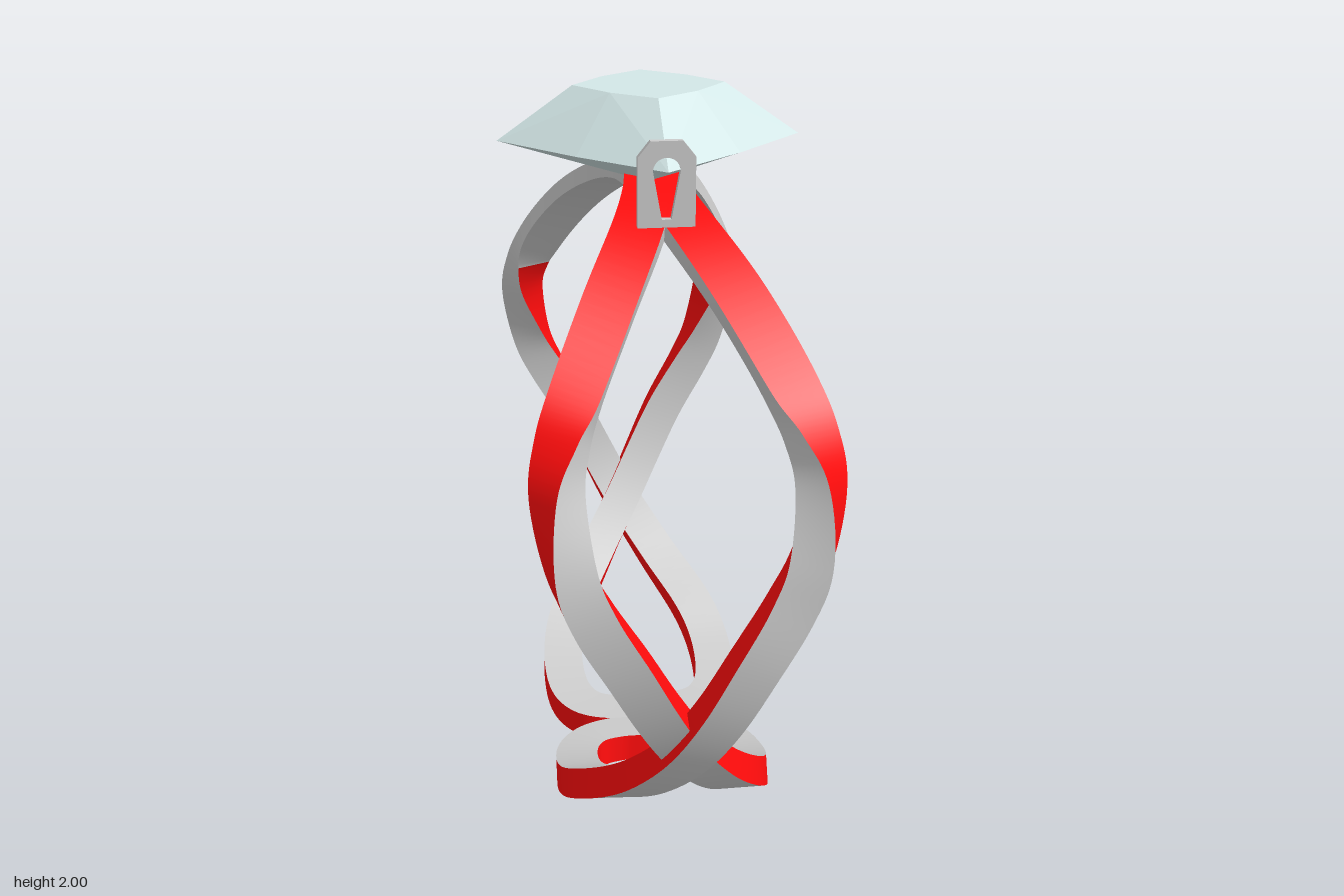
import * as THREE from 'three';
import { ConvexGeometry } from 'three/addons/geometries/ConvexGeometry.js';

const grey = new THREE.MeshStandardMaterial({ color: 0xcccccc, side: THREE.DoubleSide });
const red = new THREE.MeshStandardMaterial({ color: 0xff0c0c, side: THREE.DoubleSide });
const gemMat = new THREE.MeshStandardMaterial({ color: 0xd3e7e7, flatShading: true });

const CENTRE_Y = 0.905;

// Half of one looped band, from the crown to the middle of the bottom bar:
// x, angle above the horizontal, radius, twist, half size along face A, along face B
const HALF = [
  [0.0, 90, 0.85, 0, 0.025, 0.065],
  [0.025, 78, 0.85, 0, 0.025, 0.065],
  [0.075, 66, 0.85, 0, 0.025, 0.065],
  [0.17, 50, 0.85, 0, 0.026, 0.065],
  [0.255, 36, 0.853, 6, 0.03, 0.062],
  [0.295, 28, 0.86, 28, 0.036, 0.056],
  [0.312, 20, 0.865, 52, 0.044, 0.05],
  [0.285, 8, 0.87, 78, 0.052, 0.042],
  [0.235, 0, 0.87, 88, 0.055, 0.04],
  [0.15, -10, 0.87, 90, 0.056, 0.04],
  [0.075, -20, 0.87, 90, 0.056, 0.04],
  [0.0, -30, 0.87, 90, 0.056, 0.04],
  [-0.09, -41, 0.87, 90, 0.057, 0.04],
  [-0.195, -55, 0.868, 90, 0.06, 0.04],
  [-0.236, -66, 0.866, 90, 0.06, 0.04],
  [-0.232, -77, 0.865, 90, 0.06, 0.04],
  [-0.185, -83.5, 0.865, 90, 0.06, 0.04],
  [-0.1, -86, 0.865, 90, 0.06, 0.04],
  [0.0, -86, 0.865, 90, 0.06, 0.04],
];

// Sweep of a twisting rectangular section; each of its four faces is a smooth strip
function createBand() {
  const group = new THREE.Group();
  group.name = 'loopedBand';
  // the first strand passes over the second where they cross
  const over = HALF.map((p) => {
    const lift = 0.028 * Math.max(0, 1 - Math.pow((p[1] + 27) / 24, 2));
    return [p[0], p[1], p[2] + lift, p[3], p[4], p[5]];
  });
  const under = HALF.slice(0, -1).reverse().map((p) => [-p[0], ...p.slice(1)]);
  const rows = [...over, ...under];
  const curve = (k) => new THREE.CatmullRomCurve3(
    rows.map((p) => new THREE.Vector3(p[k], p[k + 1], p[k + 2])), false, 'catmullrom', 0.5);
  const path = curve(0), section = curve(3);

  const radial = (deg) => {
    const a = THREE.MathUtils.degToRad(deg);
    return new THREE.Vector3(0, Math.sin(a), Math.cos(a));
  };
  const place = (t) => {
    const p = path.getPoint(THREE.MathUtils.clamp(t, 0, 1));
    return radial(p.y).multiplyScalar(p.z).add(new THREE.Vector3(p.x, CENTRE_Y, 0));
  };

  const N = 288;
  const rings = [], twists = [];
  for (let i = 0; i <= N; i++) {
    const t = i / N;
    const pos = place(t);
    const tan = place(t + 0.002).sub(place(t - 0.002)).normalize();
    const u = radial(path.getPoint(t).y);
    u.addScaledVector(tan, -u.dot(tan)).normalize();
    const v = tan.clone().cross(u);
    const s = section.getPoint(t);
    const f = THREE.MathUtils.degToRad(s.x);
    const A = u.clone().multiplyScalar(Math.cos(f)).addScaledVector(v, -Math.sin(f));
    const B = v.clone().multiplyScalar(Math.cos(f)).addScaledVector(u, Math.sin(f));
    rings.push([[1, -1], [1, 1], [-1, 1], [-1, -1]].map(([a, b]) =>
      pos.clone().addScaledVector(A, a * s.y).addScaledVector(B, b * s.z)));
    twists.push(s.x);
  }

  const strip = (name, k, from, to, material) => {
    const pts = [], idx = [];
    for (let i = from; i <= to; i++) {
      pts.push(rings[i][k], rings[i][(k + 1) % 4]);
      if (i < to) {
        const o = (i - from) * 2;
        idx.push(o, o + 1, o + 2, o + 1, o + 3, o + 2);
      }
    }
    const geo = new THREE.BufferGeometry().setFromPoints(pts);
    geo.setIndex(idx);
    geo.computeVertexNormals();
    const mesh = new THREE.Mesh(geo, material);
    mesh.name = name;
    group.add(mesh);
  };
  const turn = twists.findIndex((f) => f > 25);
  strip('bandRedFace', 0, 0, N, red);
  strip('bandGreyFace', 1, 0, N, grey);
  strip('bandUnderside', 2, 0, turn, grey);
  strip('bandRedEdge', 2, turn, N - turn, red);
  strip('bandUnderside', 2, N - turn, N, grey);
  strip('bandInnerFace', 3, 0, N, grey);
  return group;
}

// Chamfered plate with a tapering slot that holds a tip of the gem
function createClip() {
  const shape = new THREE.Shape([
    [-0.072, 1.715], [0.072, 1.715], [0.072, 1.89], [0.04, 1.93], [-0.04, 1.93], [-0.072, 1.89],
  ].map(([x, y]) => new THREE.Vector2(x, y)));
  const slot = new THREE.Path();
  slot.moveTo(-0.012, 1.735);
  slot.lineTo(-0.034, 1.855);
  slot.absarc(0, 1.855, 0.034, Math.PI, 0, true);
  slot.lineTo(0.012, 1.735);
  slot.closePath();
  shape.holes.push(slot);
  const geo = new THREE.ExtrudeGeometry(shape, { depth: 0.02, bevelEnabled: false, curveSegments: 10 });
  const clip = new THREE.Mesh(geo, grey);
  clip.name = 'gemClip';
  clip.position.z = 0.348;
  return clip;
}

// Four-cornered cut stone: table, girdle and culet
function createGem() {
  const pts = [new THREE.Vector3(0, 1.74, 0)];
  for (let i = 0; i < 4; i++) {
    const a = (i * Math.PI) / 2;
    const add = (r, y, turn) => pts.push(new THREE.Vector3(r * Math.cos(a + turn), y, r * Math.sin(a + turn)));
    add(0.4, 1.86, 0);
    add(0.295, 1.86, Math.PI / 4);
    add(0.2, 2, 0);
    add(0.16, 2, Math.PI / 4);
  }
  const gem = new THREE.Mesh(new ConvexGeometry(pts), gemMat);
  gem.name = 'gem';
  return gem;
}

export function createModel() {
  const model = new THREE.Group();
  model.name = 'ring';
  // front and back halves are the same, turned half a circle
  for (let i = 0; i < 2; i++) {
    const half = new THREE.Group();
    half.name = i ? 'backHalf' : 'frontHalf';
    half.add(createBand(), createClip());
    half.rotation.y = i * Math.PI;
    model.add(half);
  }
  model.add(createGem());
  return model;
}
